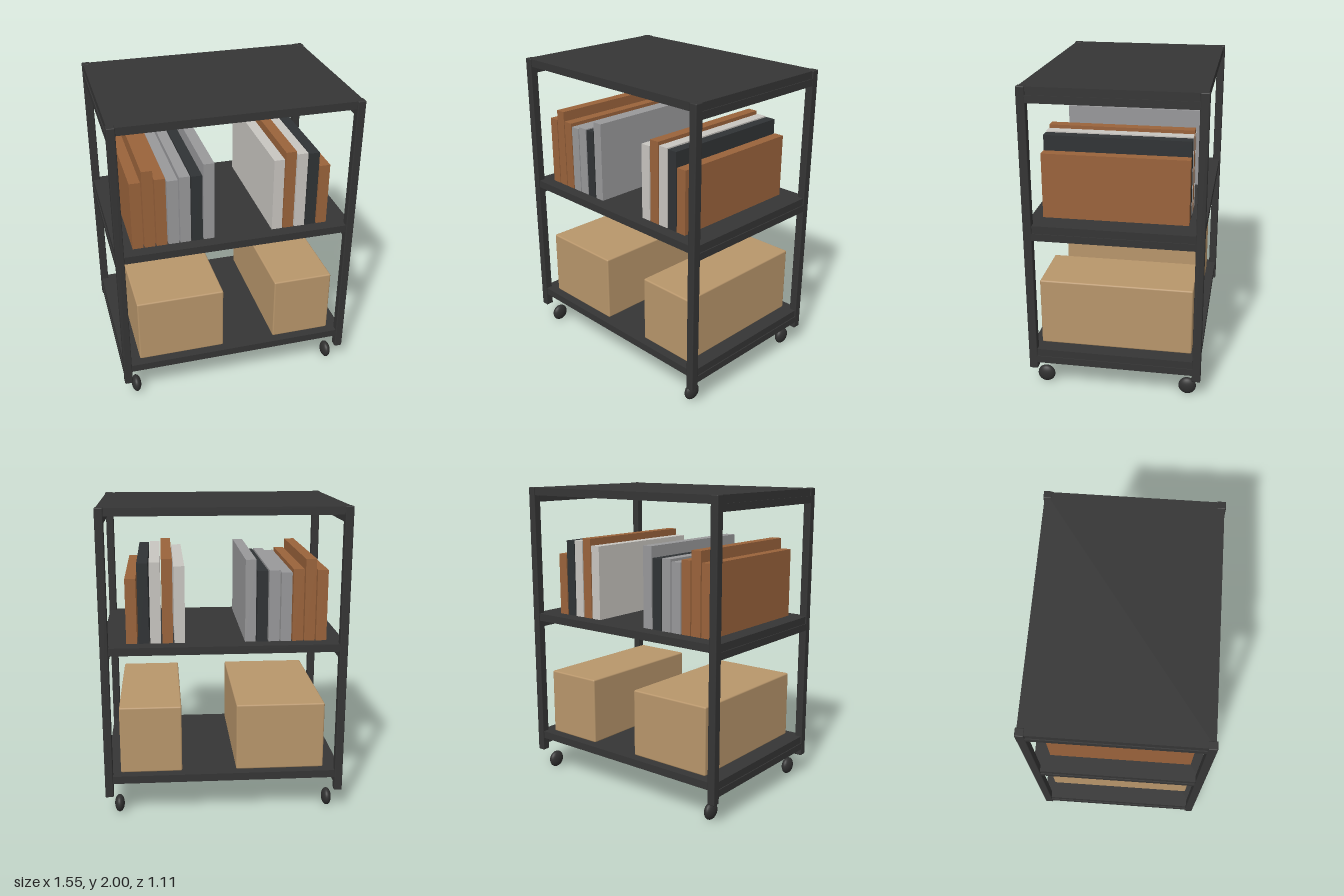
import * as THREE from 'three';
import { RoundedBoxGeometry } from 'three/addons/geometries/RoundedBoxGeometry.js';

const material = (name, color) => {
  const m = new THREE.MeshStandardMaterial({ color });
  m.name = name;
  return m;
};

export function createModel() {
  const model = new THREE.Group();
  model.name = 'rollingShelf';

  const frame = material('charcoal metal', 0x353535);
  const wheelMat = material('black rubber', 0x303030);
  const cardboard = material('cardboard', 0xb8966b);
  const brown = material('brown cover', 0x9a633b);
  const grey = material('grey cover', 0x98989a);
  const pale = material('pale cover', 0xc8c5c0);
  const dark = material('dark cover', 0x303335);

  // Box given by its extents on each axis, optionally with softened edges
  function addBox(name, mat, [x0, x1], [y0, y1], [z0, z1], radius = 0) {
    const size = [x1 - x0, y1 - y0, z1 - z0];
    const geometry = radius
      ? new RoundedBoxGeometry(...size, 2, radius)
      : new THREE.BoxGeometry(...size);
    const mesh = new THREE.Mesh(geometry, mat);
    mesh.name = name;
    mesh.position.set((x0 + x1) / 2, (y0 + y1) / 2, (z0 + z1) / 2);
    model.add(mesh);
    return mesh;
  }

  // Corner posts and caster wheels
  const wheelGeometry = new THREE.SphereGeometry(0.057, 24, 16);
  for (const sx of [-1, 1]) {
    for (const sz of [-1, 1]) {
      const post = addBox('cornerPost', frame, [-0.026, 0.026], [0.14, 2], [-0.027, 0.027], 0.006);
      post.position.x = sx * 0.75;
      post.position.z = sz * 0.528;

      const wheel = new THREE.Mesh(wheelGeometry, wheelMat);
      wheel.name = 'casterWheel';
      wheel.scale.x = 0.56;
      wheel.position.set(sx * 0.69, 0.057, sz * 0.467);
      model.add(wheel);
    }
  }

  // Three shelves, each carried by a rail at either side
  for (const top of [0.28, 1.14, 1.998]) {
    addBox('shelf', frame, [-0.769, 0.769], [top - 0.05, top], [-0.546, 0.546]);
    for (const sx of [-1, 1]) {
      const rail = addBox('sideRail', frame, [-0.025, 0.025], [top - 0.095, top - 0.049], [-0.51, 0.51]);
      rail.position.x = sx * 0.75;
    }
  }

  // Cardboard boxes on the bottom shelf
  for (const xs of [[-0.657, -0.08], [0.275, 0.675]]) {
    addBox('cardboardBox', cardboard, xs, [0.28, 0.727], [-0.487, 0.492], 0.01);
  }

  // Two rows of books on the middle shelf: [top height, cover]
  const rows = [
    [-0.657, [[1.595, brown], [1.665, brown], [1.602, brown], [1.582, grey],
      [1.597, grey], [1.593, dark], [1.665, grey]]],
    [0.245, [[1.63, pale], [1.675, brown], [1.655, pale], [1.65, dark], [1.555, brown]]],
  ];
  for (const [start, books] of rows) {
    books.forEach(([top, cover], i) => {
      const x = start + i * 0.0757;
      addBox('book', cover, [x, x + 0.068], [1.14, top], [-0.445, 0.467]);
    });
  }

  return model;
}
